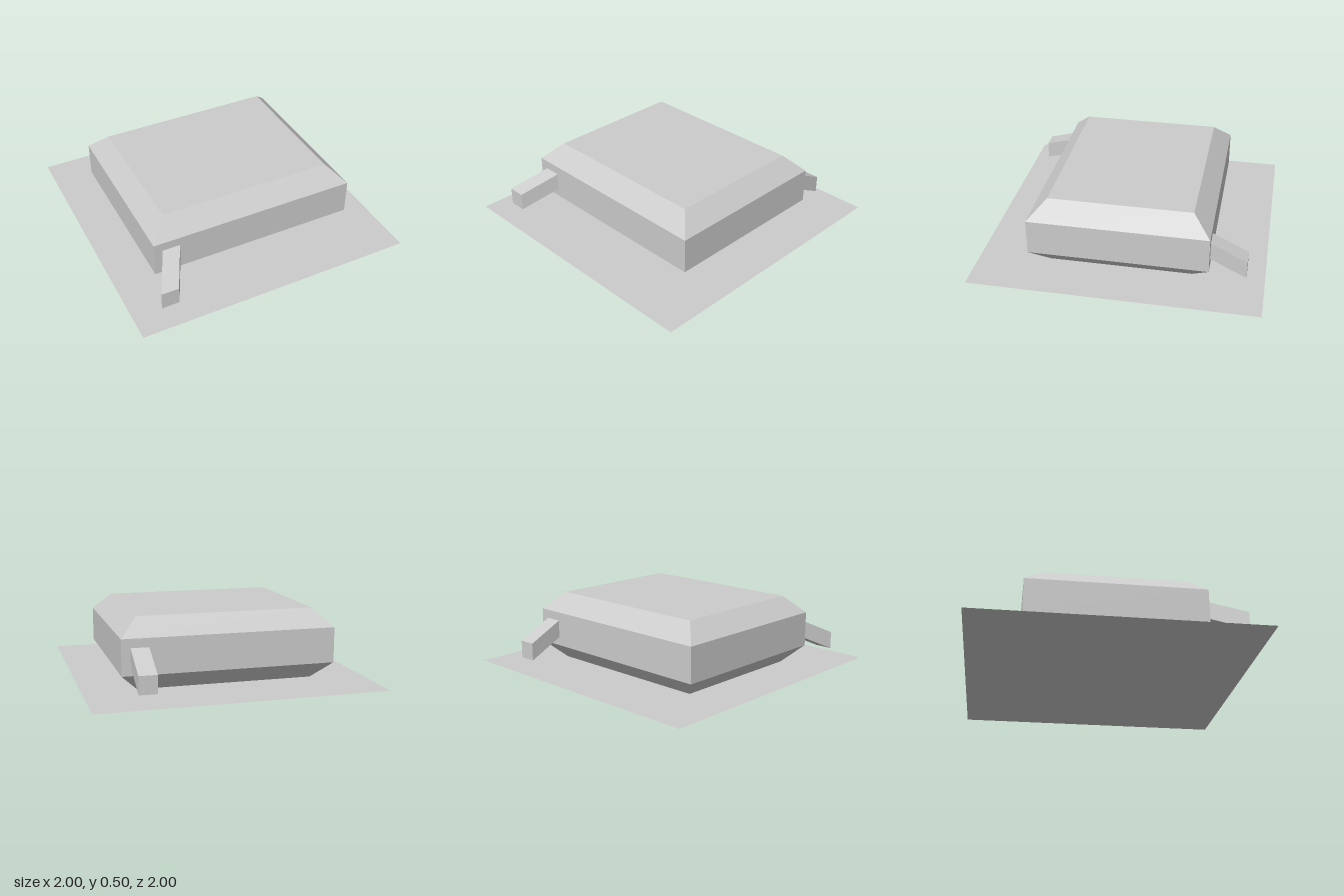
import * as THREE from 'three';

const material = new THREE.MeshStandardMaterial({ color: 0xcccccc, flatShading: true });

// Moves each vertex of a box by a rule, then gives it flat facets.
function shapedBox(name, box, rule) {
  const pos = box.attributes.position;
  const v = new THREE.Vector3();
  for (let i = 0; i < pos.count; i++) {
    rule(v.fromBufferAttribute(pos, i));
    pos.setXYZ(i, v.x, v.y, v.z);
  }
  const geometry = box.toNonIndexed();
  geometry.computeVertexNormals();
  const mesh = new THREE.Mesh(geometry, material);
  mesh.name = name;
  return mesh;
}

// Square bar that leaves the body at z = 0.625 and drops by 0.125, drifting sideways.
function arm(name, drift) {
  return shapedBox(name, new THREE.BoxGeometry(0.125, 0.125, 0.25), (v) => {
    const t = v.z > 0 ? 1 : 0;
    v.x += -0.625 + drift * t;
    v.y += 0.25 - 0.125 * t;
    v.z += 0.75;
  });
}

export function createModel() {
  const group = new THREE.Group();

  // Flat square base sheet
  const base = new THREE.Mesh(new THREE.PlaneGeometry(2, 2), material.clone());
  base.material.side = THREE.DoubleSide;
  base.rotation.x = -Math.PI / 2;
  base.name = 'base';
  group.add(base);

  // Body with top and bottom edges bevelled inwards
  group.add(shapedBox('body', new THREE.BoxGeometry(1.5, 0.5, 1.25, 1, 3, 1), (v) => {
    if (Math.abs(v.y) > 0.2) {
      v.x -= Math.sign(v.x) * 0.125;
      v.z -= Math.sign(v.z) * 0.125;
    } else {
      v.y = Math.sign(v.y) * 0.125;
    }
    v.y += 0.25;
  }));

  // Front arm flares outwards, back arm runs straight
  group.add(arm('frontArm', -0.125));
  const backArm = arm('backArm', 0);
  backArm.rotation.y = Math.PI;
  group.add(backArm);

  return group;
}
